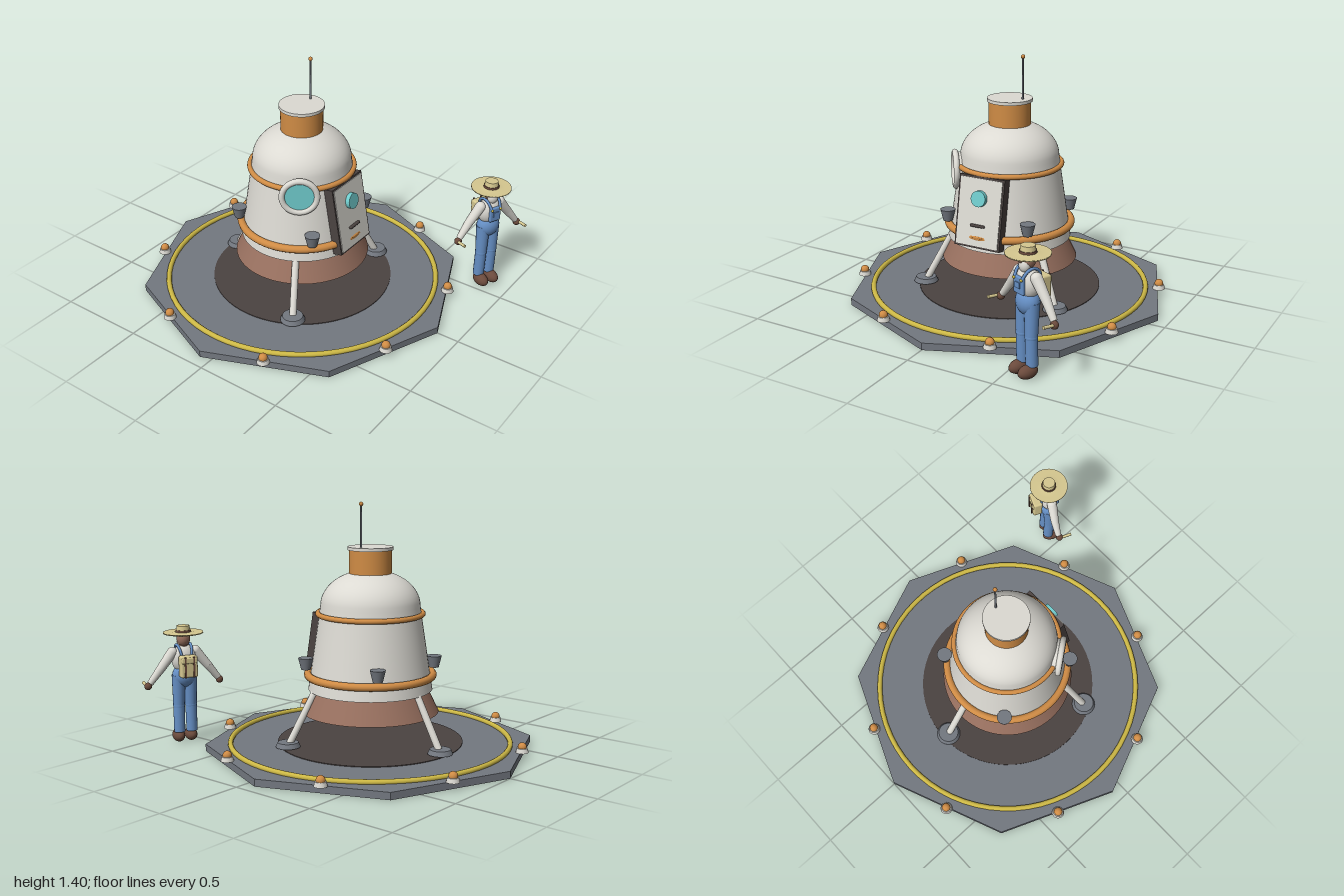
import * as THREE from 'three';
import { RoundedBoxGeometry } from 'three/addons/geometries/RoundedBoxGeometry.js';

const mat = (name, color) => Object.assign(new THREE.MeshStandardMaterial({ color }), { name });
const M = {
  white: mat('hull white', 0xdcdad3),
  orange: mat('orange trim', 0xd08c45),
  grey: mat('pad grey', 0x737880),
  dark: mat('scorched dark', 0x4b4341),
  brown: mat('shield brown', 0x98705f),
  yellow: mat('marking yellow', 0xcdb845),
  cyan: mat('window cyan', 0x70cccd),
  blue: mat('denim blue', 0x6690c6),
  straw: mat('straw', 0xd6c890),
  leather: mat('leather brown', 0x6b4a3c),
};
const V = (x, y, z) => new THREE.Vector3(x, y, z);

function add(parent, name, geo, material, x = 0, y = 0, z = 0) {
  const m = new THREE.Mesh(geo, material);
  m.name = name;
  m.position.set(x, y, z);
  parent.add(m);
  return m;
}
const group = (parent, name, x = 0, y = 0, z = 0) => {
  const g = new THREE.Group();
  g.name = name;
  g.position.set(x, y, z);
  parent.add(g);
  return g;
};
const cyl = (rTop, rBottom, h, n = 32) => new THREE.CylinderGeometry(rTop, rBottom, h, n);
const ball = (r, n = 20) => new THREE.SphereGeometry(r, n, Math.ceil(n * 0.7));
const ring = (r, tube) => new THREE.TorusGeometry(r, tube, 12, 64).rotateX(Math.PI / 2);

// Tapered rod between two points
function rod(parent, name, a, b, ra, rb, material) {
  const d = b.clone().sub(a);
  const m = add(parent, name, cyl(rb, ra, d.length(), 16), material);
  m.position.copy(a).addScaledVector(d, 0.5);
  m.quaternion.setFromUnitVectors(V(0, 1, 0), d.normalize());
  return m;
}

function buildPad(parent) {
  const pad = group(parent, 'landingPad');
  const slab = cyl(0.935, 0.935, 0.04, 8).toNonIndexed();
  slab.computeVertexNormals();
  add(pad, 'padSlab', slab, M.grey, 0, 0.02);
  add(pad, 'scorchDisc', cyl(0.527, 0.527, 0.006, 64), M.dark, 0, 0.041);
  add(pad, 'markingRing', ring(0.795, 0.015), M.yellow, 0, 0.047);
  for (let i = 0; i < 8; i++) {
    const a = (i + 0.5) * Math.PI / 4, x = Math.sin(a) * 0.871, z = Math.cos(a) * 0.871;
    add(pad, 'lightBase', cyl(0.03, 0.036, 0.025, 16), M.white, x, 0.052, z);
    add(pad, 'lightDome', ball(0.025, 16), M.orange, x, 0.071, z);
  }
}

function buildCapsule(parent) {
  const cap = group(parent, 'capsule');
  // Tapered hull with a rounded dome
  const profile = [[0.352, 0.345], [0.337, 0.44], [0.322, 0.54], [0.307, 0.64], [0.292, 0.74]];
  for (let i = 0; i <= 14; i++) {
    const a = i / 14 * Math.PI / 2;
    profile.push([Math.max(0.281 * Math.cos(a), 0.0001), 0.82 + 0.2 * Math.sin(a)]);
  }
  const pts = profile.map(p => new THREE.Vector2(...p));
  add(cap, 'hull', new THREE.LatheGeometry(pts, 64), M.white);
  add(cap, 'hullBase', new THREE.CircleGeometry(0.352, 64).rotateX(Math.PI / 2), M.white, 0, 0.345);
  add(cap, 'heatShield', cyl(0.325, 0.388, 0.13, 64), M.brown, 0, 0.282);
  add(cap, 'lowerBand', ring(0.354, 0.022), M.orange, 0, 0.428);
  add(cap, 'upperBand', ring(0.295, 0.015), M.orange, 0, 0.775);

  // Top hatch and antenna
  add(cap, 'hatchNeck', cyl(0.119, 0.119, 0.14, 48), M.orange, 0, 1.065);
  add(cap, 'hatchLid', cyl(0.128, 0.128, 0.018, 48), M.white, 0, 1.141);
  add(cap, 'antennaMast', cyl(0.005, 0.006, 0.25, 12), M.grey, 0.082, 1.265);
  add(cap, 'antennaTip', ball(0.012, 14), M.orange, 0.082, 1.389);

  // Thruster cups on the diagonals
  for (const sx of [-1, 1]) for (const sz of [-1, 1])
    add(cap, 'thruster', cyl(0.043, 0.027, 0.066, 24), M.grey, sx * 0.257, 0.492, sz * 0.259);

  // Three legs with foot discs
  for (let i = 0; i < 3; i++) {
    const leg = group(cap, 'landingLeg');
    leg.rotation.y = Math.PI + i * Math.PI * 2 / 3;
    rod(leg, 'strut', V(0, 0.07, 0.48), V(0, 0.36, 0.325), 0.02, 0.02, M.white);
    add(leg, 'footDisc', cyl(0.058, 0.07, 0.026, 28), M.grey, 0, 0.063, 0.49);
  }

  // Door leaning with the hull
  const door = group(cap, 'door', 0, 0.567, 0.315);
  door.rotation.x = -0.175;
  add(door, 'doorFrame', new THREE.BoxGeometry(0.284, 0.4, 0.055), M.dark);
  add(door, 'doorPanel', new THREE.BoxGeometry(0.262, 0.378, 0.012), M.white, 0, 0, 0.026);
  add(door, 'doorWindow', cyl(0.045, 0.045, 0.03, 32).rotateX(Math.PI / 2), M.cyan, 0, 0.08, 0.042);
  add(door, 'doorHandle', new RoundedBoxGeometry(0.09, 0.016, 0.02, 2, 0.007), M.dark, 0, -0.073, 0.038);
  add(door, 'doorLamp', ball(0.04), M.orange, 0, -0.14, 0.032).scale.set(1, 0.15, 0.12);

  // Round side porthole
  const port = group(cap, 'porthole', -0.254, 0.74, 0.17);
  port.rotation.y = Math.atan2(-0.8, 0.6);
  add(port, 'portholeRim', new THREE.TorusGeometry(0.097, 0.017, 12, 40), M.white, 0, 0, 0.004);
  add(port, 'portholeBarrel', cyl(0.097, 0.097, 0.05, 40).rotateX(Math.PI / 2), M.white, 0, 0, -0.025);
  add(port, 'portholeGlass', cyl(0.09, 0.09, 0.008, 40).rotateX(Math.PI / 2), M.cyan, 0, 0, 0.003);
}

function buildFarmer(parent) {
  const f = group(parent, 'farmer', 0.6, 0, 0.83);
  f.rotation.y = -0.42;
  // Torso, hips and bib
  add(f, 'shirt', ball(0.07), M.white, 0, 0.495, 0).scale.set(1.05, 1.2, 0.78);
  add(f, 'hips', ball(0.07), M.blue, 0, 0.395, 0).scale.set(1.02, 1, 0.8);
  add(f, 'bib', new RoundedBoxGeometry(0.075, 0.09, 0.02, 2, 0.008), M.blue, 0, 0.492, 0.051);
  add(f, 'pocket', new THREE.BoxGeometry(0.035, 0.03, 0.006), M.blue, 0, 0.495, 0.063);
  // Head, beard and hat
  add(f, 'neck', cyl(0.025, 0.028, 0.05, 16), M.brown, 0, 0.563);
  add(f, 'head', ball(0.043), M.brown, 0, 0.612).scale.set(0.9, 1.12, 0.95);
  add(f, 'beard', ball(0.033), M.white, 0, 0.588, 0.02).scale.set(1, 1.15, 0.85);
  add(f, 'nose', ball(0.009, 10), M.brown, 0, 0.613, 0.046);
  const brim = [[0.035, 0.652], [0.075, 0.643], [0.114, 0.65], [0.114, 0.643], [0.075, 0.634], [0.035, 0.642]];
  add(f, 'hatBrim', new THREE.LatheGeometry(brim.map(p => new THREE.Vector2(...p)).reverse(), 36), M.straw);
  add(f, 'hatCrown', cyl(0.036, 0.043, 0.046, 28), M.straw, 0, 0.664);
  add(f, 'hatBand', cyl(0.043, 0.0445, 0.012, 28), M.leather, 0, 0.656);
  // Backpack
  add(f, 'backpack', new RoundedBoxGeometry(0.1, 0.125, 0.058, 3, 0.012), M.straw, 0, 0.462, -0.08);
  add(f, 'backpackFlap', new RoundedBoxGeometry(0.092, 0.035, 0.02, 2, 0.008), M.straw, 0, 0.5, -0.105);
  for (const s of [-1, 1]) {
    add(f, 'eye', ball(0.006, 8), M.dark, s * 0.015, 0.624, 0.038);
    add(f, 'packStrap', new THREE.BoxGeometry(0.01, 0.12, 0.006), M.leather, s * 0.025, 0.462, -0.113);
    // Overall strap over the shoulder
    const path = new THREE.CatmullRomCurve3([V(s * 0.03, 0.53, 0.058), V(s * 0.038, 0.565, 0.035),
      V(s * 0.04, 0.577, 0), V(s * 0.034, 0.55, -0.045), V(s * 0.02, 0.46, -0.058)]);
    add(f, 'overallStrap', new THREE.TubeGeometry(path, 16, 0.008, 8), M.blue);
    add(f, 'strapButton', ball(0.008, 10), M.yellow, s * 0.029, 0.527, 0.063);
    // Leg and shoe
    rod(f, 'thigh', V(s * 0.036, 0.22, 0.004), V(s * 0.034, 0.4, 0), 0.033, 0.04, M.blue);
    add(f, 'knee', ball(0.034, 16), M.blue, s * 0.036, 0.22, 0.004);
    rod(f, 'shin', V(s * 0.037, 0.065, 0), V(s * 0.036, 0.22, 0.004), 0.032, 0.033, M.blue);
    add(f, 'shoe', ball(0.04), M.leather, s * 0.037, 0.037, 0.025).scale.set(0.87, 0.92, 1.45);
    // Arm, hand and short tool
    add(f, 'shoulder', ball(0.031, 16), M.white, s * 0.068, 0.535, 0);
    rod(f, 'upperArm', V(s * 0.14, 0.445, -0.004), V(s * 0.068, 0.535, 0), 0.025, 0.031, M.white);
    add(f, 'elbow', ball(0.025, 16), M.white, s * 0.14, 0.445, -0.004);
    rod(f, 'forearm', V(s * 0.203, 0.365, 0), V(s * 0.14, 0.445, -0.004), 0.018, 0.025, M.white);
    add(f, 'hand', ball(0.022, 14), M.leather, s * 0.213, 0.35, 0.005);
    rod(f, 'tool', V(s * 0.22, 0.352, 0), V(s * 0.22, 0.358, 0.078), 0.008, 0.009, M.straw);
  }
}

export function createModel() {
  const root = new THREE.Group();
  root.name = 'landerScene';
  const site = group(root, 'landingSite', 0, 0, -0.065);
  buildPad(site);
  buildCapsule(site);
  buildFarmer(root);
  return root;
}
